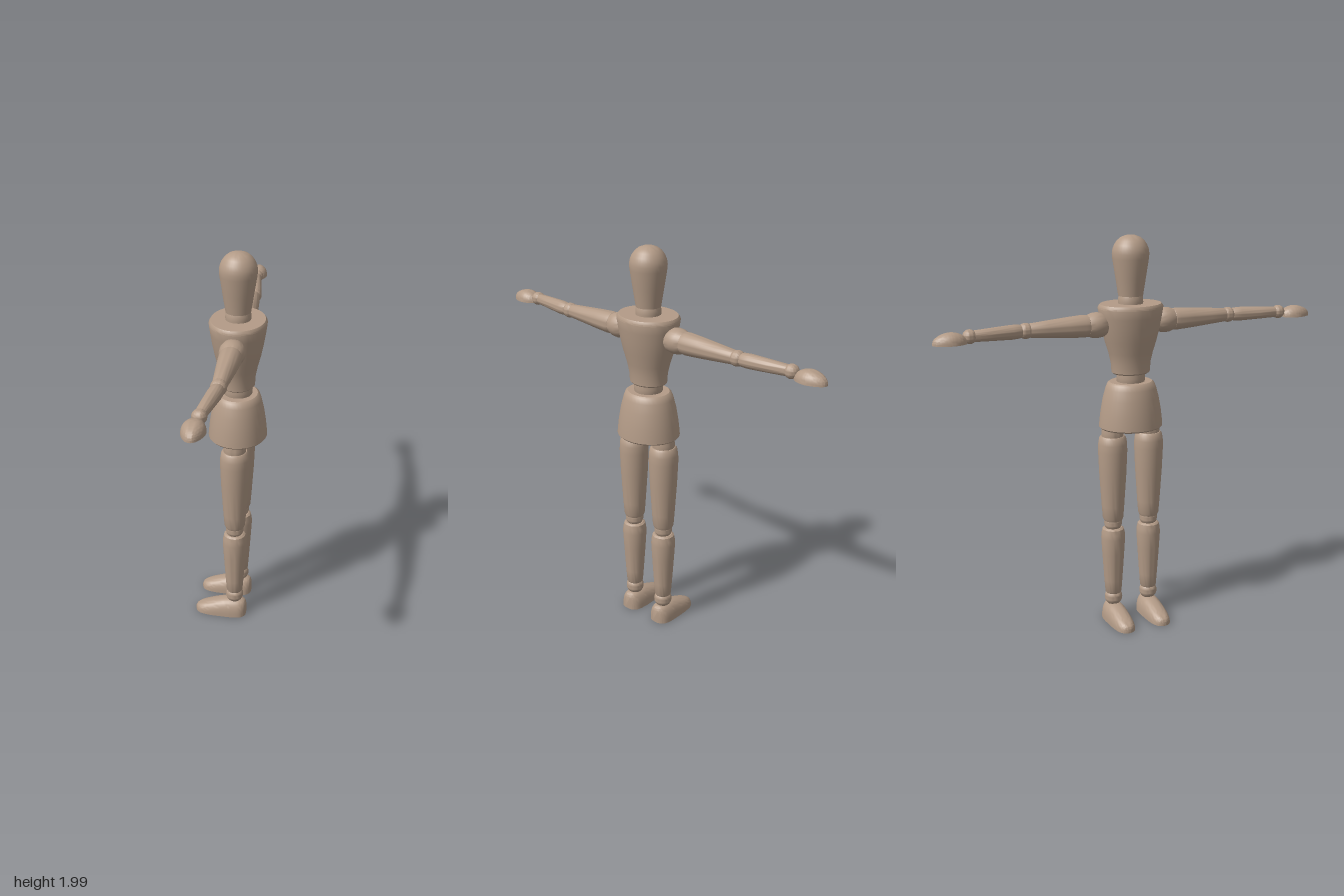
import * as THREE from 'three';
import { toCreasedNormals } from 'three/addons/utils/BufferGeometryUtils.js';

const wood = new THREE.MeshStandardMaterial({ color: 0xb39b87 });
wood.name = 'plain wood';

const AXIS = 0.028; // body axis in x; the figure looks towards -x
const ARM_Y = 1.567;

function part(name, geometry) {
  const mesh = new THREE.Mesh(toCreasedNormals(geometry, 0.6), wood);
  mesh.name = name;
  return mesh;
}

// Turned piece with closed ends; profile is [radius, height] from bottom to top
function turned(name, profile, scaleZ = 1) {
  const pts = [[0, profile[0][1]], ...profile];
  const last = profile[profile.length - 1];
  if (last[0] > 0) pts.push([0, last[1]]);
  const geo = new THREE.LatheGeometry(pts.map(([r, y]) => new THREE.Vector2(r, y)), 36);
  return part(name, geo.scale(1, 1, scaleZ));
}

// Turned piece laid between two points; profile is [radius, fraction of length]
function turnedBetween(name, profile, from, to) {
  const dir = to.clone().sub(from);
  const length = dir.length();
  const mesh = turned(name, profile.map(([r, t]) => [r, t * length]));
  mesh.quaternion.setFromUnitVectors(new THREE.Vector3(0, 1, 0), dir.normalize());
  mesh.position.copy(from);
  return mesh;
}

function ball(name, radius, x, y, z) {
  const mesh = part(name, new THREE.SphereGeometry(radius, 28, 18));
  mesh.position.set(x, y, z);
  return mesh;
}

// Flat-bottomed dome lofted along +z; stations are [distance, half width, height]
function dome(name, stations, power) {
  const rings = new THREE.CatmullRomCurve3(stations.map(s => new THREE.Vector3(...s))).getPoints(32);
  const n = 21;
  const pos = [];
  const idx = [];
  rings.forEach(({ x: t, y: w, z: h }, i) => {
    for (let j = 0; j < n; j++) {
      const a = (j / (n - 1)) * Math.PI;
      const c = Math.cos(a);
      pos.push(w * Math.sign(c) * Math.abs(c) ** power, h * Math.max(Math.sin(a), 0) ** power, t);
      if (i < rings.length - 1) {
        const k = (j + 1) % n;
        const p = i * n;
        idx.push(p + j, p + k, p + n + k, p + j, p + n + k, p + n + j);
      }
    }
  });
  const end = (rings.length - 1) * n;
  for (let j = 1; j < n - 1; j++) idx.push(0, j + 1, j, end, end + j, end + j + 1);
  const geo = new THREE.BufferGeometry();
  geo.setAttribute('position', new THREE.Float32BufferAttribute(pos, 3));
  geo.setIndex(idx);
  return part(name, geo);
}

function createArm(side, elbowX, wristX, handX) {
  const arm = new THREE.Group();
  arm.name = 'arm';
  const at = (x, z) => new THREE.Vector3(x, ARM_Y, z * side);
  arm.add(
    turnedBetween('shoulderJoint', [[0.045, 0], [0.058, 0.2], [0.063, 0.5], [0.061, 0.75], [0.052, 1]],
      at(AXIS, 0.13), at(AXIS, 0.23)),
    turnedBetween('upperArm', [[0.045, 0], [0.053, 0.03], [0.055, 0.1], [0.05, 0.35], [0.041, 0.7], [0.034, 0.97], [0.03, 1]],
      at(AXIS, 0.222), at(elbowX, 0.53)),
    ball('elbowJoint', 0.038, elbowX, ARM_Y, 0.543 * side),
    turnedBetween('forearm', [[0.028, 0], [0.033, 0.05], [0.035, 0.2], [0.031, 0.6], [0.027, 0.97], [0.024, 1]],
      at(elbowX, 0.563), at(wristX, 0.808)),
    ball('wristJoint', 0.034, wristX, ARM_Y, 0.822 * side));
  const hand = dome('hand', [[0, 0.026, 0.03], [0.025, 0.044, 0.046], [0.06, 0.053, 0.055], [0.09, 0.05, 0.053],
    [0.125, 0.036, 0.041], [0.147, 0.019, 0.025], [0.155, 0.004, 0.008]], 0.9);
  hand.position.set(handX, 1.54, 0.845 * side);
  if (side < 0) hand.rotation.y = Math.PI;
  arm.add(hand);
  return arm;
}

function createLeg(side) {
  const leg = new THREE.Group();
  leg.name = 'leg';
  leg.position.set(AXIS, 0, 0.1 * side);
  leg.add(
    turned('hipJoint', [[0.053, 0.98], [0.056, 1.0], [0.056, 1.02], [0.053, 1.045]]),
    turned('thigh', [[0.047, 0.55], [0.053, 0.565], [0.058, 0.63], [0.069, 0.8], [0.074, 0.92], [0.073, 0.96], [0.068, 0.99], [0.06, 1.0]]),
    ball('kneeJoint', 0.046, 0, 0.535, 0),
    turned('shin', [[0.038, 0.148], [0.042, 0.155], [0.047, 0.22], [0.057, 0.37], [0.062, 0.455], [0.06, 0.48], [0.055, 0.503], [0.045, 0.51]]),
    ball('ankleJoint', 0.046, 0, 0.122, 0));
  const foot = dome('foot', [[0, 0.018, 0.066], [0.008, 0.037, 0.082], [0.03, 0.053, 0.092], [0.08, 0.059, 0.093],
    [0.12, 0.058, 0.087], [0.19, 0.054, 0.066], [0.24, 0.043, 0.046], [0.262, 0.026, 0.033], [0.27, 0.006, 0.02]], 0.8);
  foot.rotation.y = -Math.PI / 2;
  foot.position.x = 0.09 - AXIS;
  leg.add(foot);
  return leg;
}

export function createModel() {
  const model = new THREE.Group();
  model.name = 'articulatedMannequin';

  // Head, trunk and the joints between them
  const body = new THREE.Group();
  body.name = 'body';
  body.position.x = AXIS;
  body.add(
    turned('head', [[0.061, 1.7], [0.075, 1.79], [0.089, 1.88], [0.091, 1.905], [0.088, 1.925], [0.08, 1.946],
      [0.066, 1.966], [0.048, 1.981], [0.025, 1.99], [0, 1.993]]),
    turned('neck', [[0.06, 1.64], [0.062, 1.67], [0.061, 1.69], [0.056, 1.705]]),
    turned('chest', [[0.076, 1.315], [0.083, 1.322], [0.086, 1.37], [0.096, 1.42], [0.112, 1.48], [0.126, 1.55],
      [0.134, 1.6], [0.14, 1.643], [0.139, 1.65], [0.131, 1.662]], 1.18),
    turned('waistJoint', [[0.066, 1.25], [0.071, 1.28], [0.072, 1.295], [0.07, 1.32]]),
    turned('pelvis', [[0.14, 1.038], [0.146, 1.045], [0.145, 1.06], [0.139, 1.12], [0.128, 1.19], [0.116, 1.24],
      [0.107, 1.265], [0.097, 1.273]], 1.115));
  model.add(body);

  model.add(createArm(1, 0.024, -0.01, -0.018), createArm(-1, 0.03, 0.006, -0.003));
  for (const side of [1, -1]) model.add(createLeg(side));
  return model;
}
